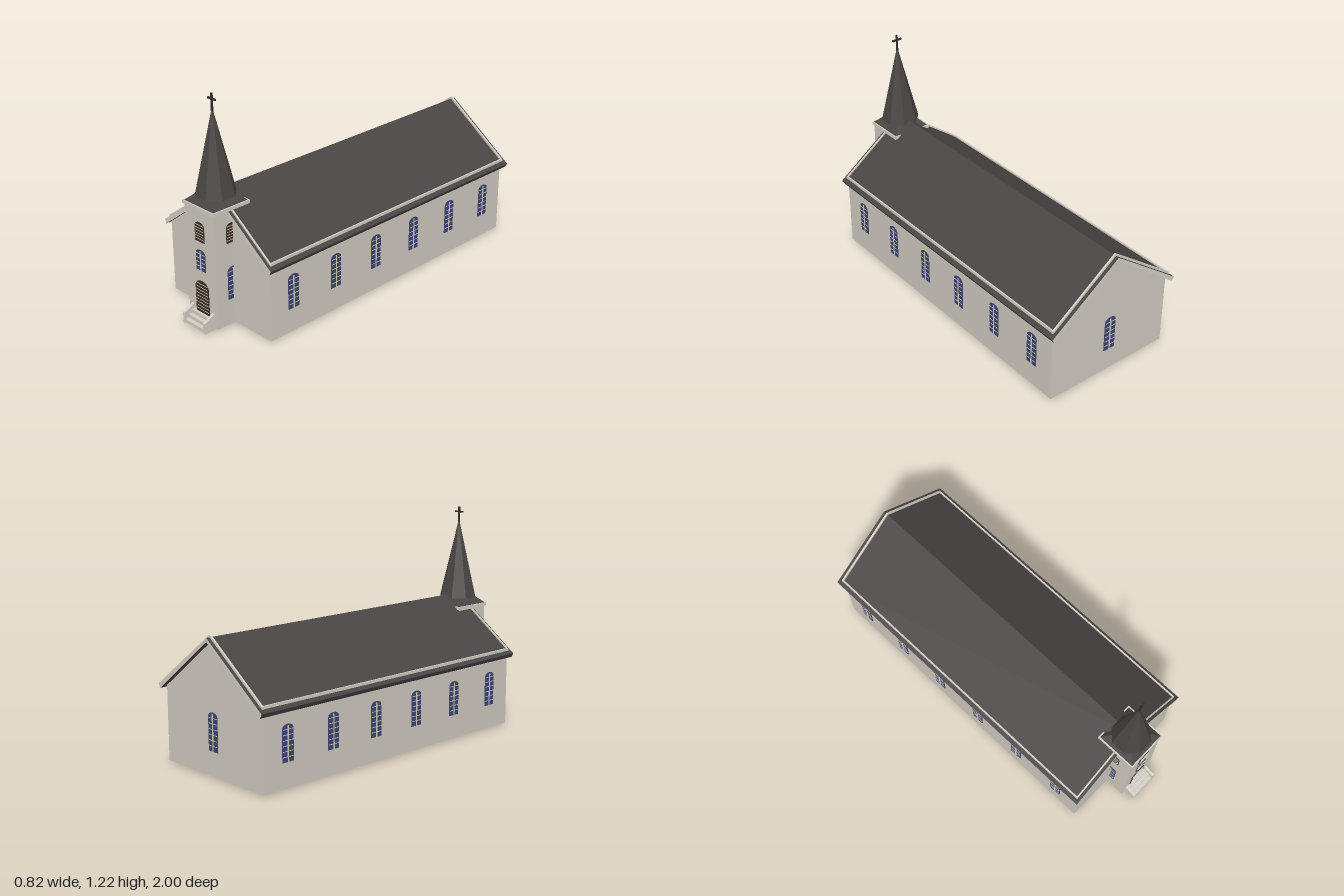
import * as THREE from 'three';

const mat = (name, color, side = THREE.FrontSide) => {
  const m = new THREE.MeshStandardMaterial({ color, side });
  m.name = name;
  return m;
};

export function createModel() {
  const wall = mat('wall', 0xcfcabf, THREE.DoubleSide);
  const roofMat = mat('roof', 0x4a4545);
  const glass = mat('glass', 0x3f4670);
  const wood = mat('darkWood', 0x3d2c22);
  const trim = mat('trim', 0xd3cfc5);
  const iron = mat('iron', 0x2f2c2c);

  const church = new THREE.Group();
  church.name = 'church';
  const add = (parent, name, geo, material, x = 0, y = 0, z = 0) => {
    const m = new THREE.Mesh(geo, material);
    m.name = name;
    m.position.set(x, y, z);
    parent.add(m);
    return m;
  };
  const box = (parent, name, w, h, d, material, x, y, z) =>
    add(parent, name, new THREE.BoxGeometry(w, h, d), material, x, y, z);
  const polygon = (points) => new THREE.Shape(points.map(([x, y]) => new THREE.Vector2(x, y)));
  const extrude = (shape, depth) => new THREE.ExtrudeGeometry(shape, { depth, bevelEnabled: false });

  // Main proportions
  const bodyX = 0.38, bodyFront = 0.82, bodyBack = -0.97, base = 0.01;
  const roofX = 0.41, ridge = 0.715, slope = 0.73, slab = 0.02;
  const roofY = (x) => ridge - slope * Math.abs(x);
  const towerX = 0.11, towerZ = 0.825;

  // Hollow nave: side walls and gables
  const eave = roofY(bodyX) - slab / 2, peak = ridge - slab / 2;
  for (const s of [-1, 1]) {
    const side = add(church, 'sideWall', new THREE.PlaneGeometry(bodyFront - bodyBack, eave - base),
      wall, s * bodyX, (eave + base) / 2, (bodyFront + bodyBack) / 2);
    side.rotation.y = s * Math.PI / 2;
  }
  const gableTop = [[bodyX, base], [bodyX, eave], [0, peak], [-bodyX, eave], [-bodyX, base]];
  const backGable = add(church, 'backGable', new THREE.ShapeGeometry(polygon(gableTop)), wall, 0, 0, bodyBack);
  backGable.rotation.y = Math.PI;
  const notch = [[-towerX, base], [-towerX, 0.61], [towerX, 0.61], [towerX, base]];
  add(church, 'frontGable', new THREE.ShapeGeometry(polygon([...gableTop, ...notch])), wall, 0, 0, bodyFront);

  // Roof slab with light gable ends
  const chevron = (x, top, bottom) => polygon([
    [x, roofY(x) + top], [0, ridge + top], [-x, roofY(x) + top],
    [-x + 0.012 * (x > 0.4), roofY(x) + bottom], [0, ridge + bottom], [x - 0.012 * (x > 0.4), roofY(x) + bottom],
  ]);
  add(church, 'roof', extrude(chevron(roofX, 0.002, -slab), 1.84), [trim, roofMat], 0, 0, -1);

  // Raised light strips on the roof
  add(church, 'backRoofStrip', extrude(chevron(0.39, 0.015, -0.005), 0.01), trim, 0, 0, -0.98);
  add(church, 'frontRoofStrip', extrude(chevron(0.39, 0.012, -0.005), 0.008), trim, 0, 0, 0.815);
  for (const s of [-1, 1])
    box(church, 'eaveStrip', 0.008, 0.018, 1.79, trim, s * 0.385, roofY(0.385) + 0.005, -0.075);

  // Arched opening with light bars, facing +z before turning
  function opening(name, w, h, fill, rows, mullion, x, y, z, turn, parent = church) {
    const g = new THREE.Group();
    g.name = name;
    g.position.set(x, y, z);
    g.rotation.y = turn;
    const r = w / 2, rise = w * 0.32, spring = h - rise;
    const pts = [[-r, 0], [r, 0]];
    for (let i = 0; i <= 6; i++) {
      const a = i * Math.PI / 6;
      pts.push([r * Math.cos(a), spring + rise * Math.sin(a)]);
    }
    add(g, 'panel', extrude(polygon(pts), 0.016), fill, 0, 0, -0.012);
    for (let i = 1; i < rows; i++)
      box(g, 'crossBar', w * 0.94, 0.003, 0.002, trim, 0, i * h / rows, 0.0045);
    if (mullion) box(g, 'mullion', 0.008, h * 0.96, 0.002, trim, 0, h * 0.48, 0.0045);
    parent.add(g);
  }
  for (const s of [-1, 1])
    for (let i = 0; i < 6; i++)
      opening('sideWindow', 0.07, 0.19, glass, 7, true, s * bodyX, 0.143, 0.667 - i * 0.297, s * Math.PI / 2);
  opening('backWindow', 0.07, 0.2, glass, 7, true, 0, 0.14, bodyBack, Math.PI);

  // Tower: four open-bottomed walls
  const tower = new THREE.Group();
  tower.name = 'tower';
  tower.position.z = towerZ;
  church.add(tower);
  for (let i = 0; i < 4; i++) {
    const a = i * Math.PI / 2, x = Math.sin(a) * towerX, z = Math.cos(a) * towerX;
    const w = add(tower, 'towerWall', new THREE.PlaneGeometry(2 * towerX, 0.64), wall, x, 0.33, z);
    w.rotation.y = a;
    if (i === 0) {
      opening('door', 0.1, 0.183, wood, 10, false, x, 0.063, z, a, tower);
      opening('frontWindow', 0.07, 0.115, glass, 5, true, x, 0.307, z, a, tower);
    } else {
      opening('towerWindow', 0.07, 0.18, glass, 7, true, x, 0.155, z, a, tower);
    }
    if (i !== 2) opening('louver', 0.07, 0.107, wood, 7, false, x, 0.468, z, a, tower);
  }
  box(tower, 'cornice', 0.236, 0.018, 0.236, trim, 0, 0.651, 0);

  // Skirt, eight-sided spire and cross
  const R2 = Math.SQRT2;
  const skirt = add(tower, 'spireSkirt',
    new THREE.CylinderGeometry(0.066 * R2, 0.112 * R2, 0.042, 4).toNonIndexed(), roofMat, 0, 0.68, 0);
  skirt.geometry.computeVertexNormals();
  skirt.rotation.y = Math.PI / 4;
  const spire = add(tower, 'spire',
    new THREE.CylinderGeometry(0.004, 0.108, 0.435, 8).toNonIndexed(), roofMat, 0, 0.9155, 0);
  spire.geometry.computeVertexNormals();
  spire.rotation.y = Math.PI / 8;
  box(tower, 'crossPost', 0.009, 0.1, 0.009, iron, 0, 1.169, 0);
  box(tower, 'crossArm', 0.058, 0.009, 0.009, iron, 0, 1.19, 0);

  // Entrance steps between sloping cheek walls
  const steps = new THREE.Group();
  steps.name = 'entranceSteps';
  church.add(steps);
  for (let i = 0; i < 3; i++) {
    const h = 0.02 * (i + 1), d = 0.066 - i * 0.022;
    box(steps, 'step', 0.15, h, d, trim, 0, h / 2 + 0.004, 0.932 + d / 2);
  }
  const cheek = polygon([[0, 0], [0.07, 0], [0.07, 0.06], [0.056, 0.066], [0, 0.095]]);
  for (const s of [-1, 1]) {
    const c = add(steps, 'cheekWall', extrude(cheek, 0.014), trim, s * 0.079 - 0.007, 0, 0.93);
    c.rotation.y = -Math.PI / 2;
    c.position.x += 0.014;
  }
  return church;
}
